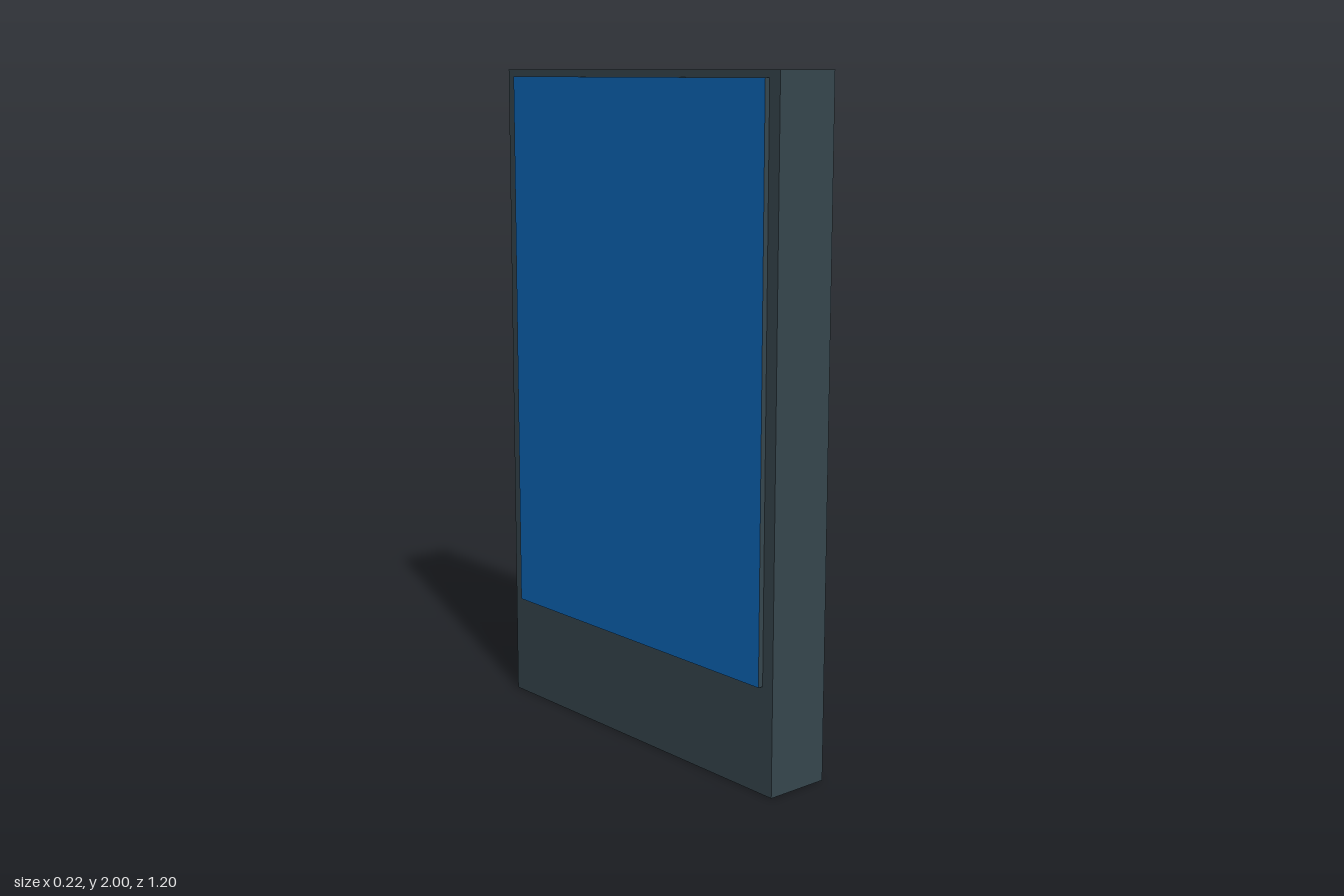
import * as THREE from 'three';

export function createModel() {
  const model = new THREE.Group();
  model.name = 'displayPanel';

  const casing = new THREE.MeshStandardMaterial({ color: 0x37474f });
  casing.name = 'slate casing';
  const glass = new THREE.MeshStandardMaterial({ color: 0x0d67b9 });
  glass.name = 'blue screen';

  // Box given by its minimum and maximum corners
  function addBox(name, min, max, material) {
    const size = max.map((v, i) => v - min[i]);
    const mesh = new THREE.Mesh(new THREE.BoxGeometry(...size), material);
    mesh.position.set(...max.map((v, i) => (v + min[i]) / 2));
    mesh.name = name;
    model.add(mesh);
  }

  // Upright slab
  addBox('body', [-0.093, 0, -0.6], [0.109, 2, 0.6], casing);

  // Raised screen on the -x side: blue outer face, slate rim
  addBox('screen', [-0.109, 0.317, -0.553], [-0.093, 1.979, 0.56],
    [casing, glass, casing, casing, casing, casing]);

  return model;
}
